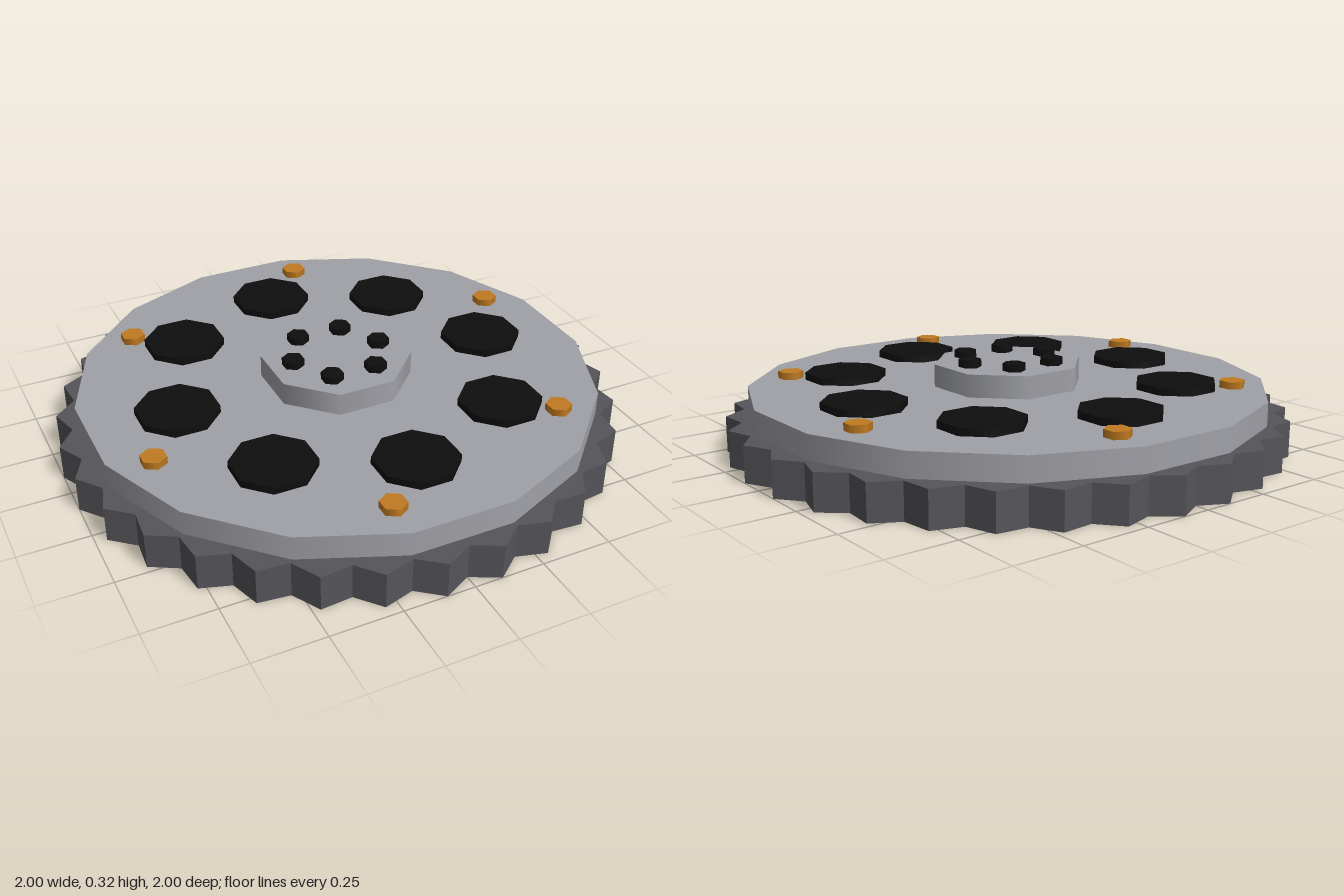
import * as THREE from 'three';

export function createModel() {
  const material = (name, color) => {
    const m = new THREE.MeshStandardMaterial({ color });
    m.name = name;
    return m;
  };
  const darkSteel = material('dark steel', 0x55555a);
  const lightSteel = material('light steel', 0xa0a1a7);
  const black = material('black', 0x0e0e0e);
  const orange = material('orange', 0xc07a20);

  const group = new THREE.Group();
  group.name = 'gearWheel';

  const add = (name, geometry, mat, x = 0, y = 0, z = 0) => {
    const mesh = new THREE.Mesh(geometry, mat);
    mesh.name = name;
    mesh.position.set(x, y, z);
    group.add(mesh);
  };

  // Prism standing on its base
  const prism = (radius, height, sides, turn = 0) =>
    new THREE.CylinderGeometry(radius, radius, height, sides)
      .rotateY(turn).translate(0, height / 2, 0);

  // Evenly spaced copies of one part around the axis
  const ring = (name, geometry, mat, count, radius, y, start = 0) => {
    for (let i = 0; i < count; i++) {
      const a = start + (i / count) * Math.PI * 2;
      add(name + (i + 1), geometry, mat, radius * Math.cos(a), y, -radius * Math.sin(a));
    }
  };

  // Toothed rim: 32 pointed teeth, with valleys on the axes
  const teeth = 32;
  const outline = [];
  for (let i = 0; i < teeth * 2; i++) {
    const a = (i / teeth) * Math.PI;
    const r = i % 2 ? 1.005 : 0.95;
    outline.push(new THREE.Vector2(r * Math.cos(a), r * Math.sin(a)));
  }
  const gear = new THREE.ExtrudeGeometry(new THREE.Shape(outline), { depth: 0.128, bevelEnabled: false });
  add('toothedRim', gear.rotateX(-Math.PI / 2), darkSteel);

  // Face plate and raised hub
  add('facePlate', prism(0.933, 0.114, 16, Math.PI / 16), lightSteel, 0, 0.1);
  add('hub', prism(0.27, 0.085, 8, Math.PI / 8), lightSteel, 0, 0.21);

  // Dark lightening holes, hub bolts and orange rim bolts
  ring('hole', prism(0.148, 0.03, 8, Math.PI / 8), black, 8, 0.603, 0.21);
  ring('hubBolt', prism(0.04, 0.03, 6), black, 6, 0.168, 0.292);
  ring('rimBolt', prism(0.046, 0.03, 6), orange, 6, 0.803, 0.21, 0.3);

  return group;
}
